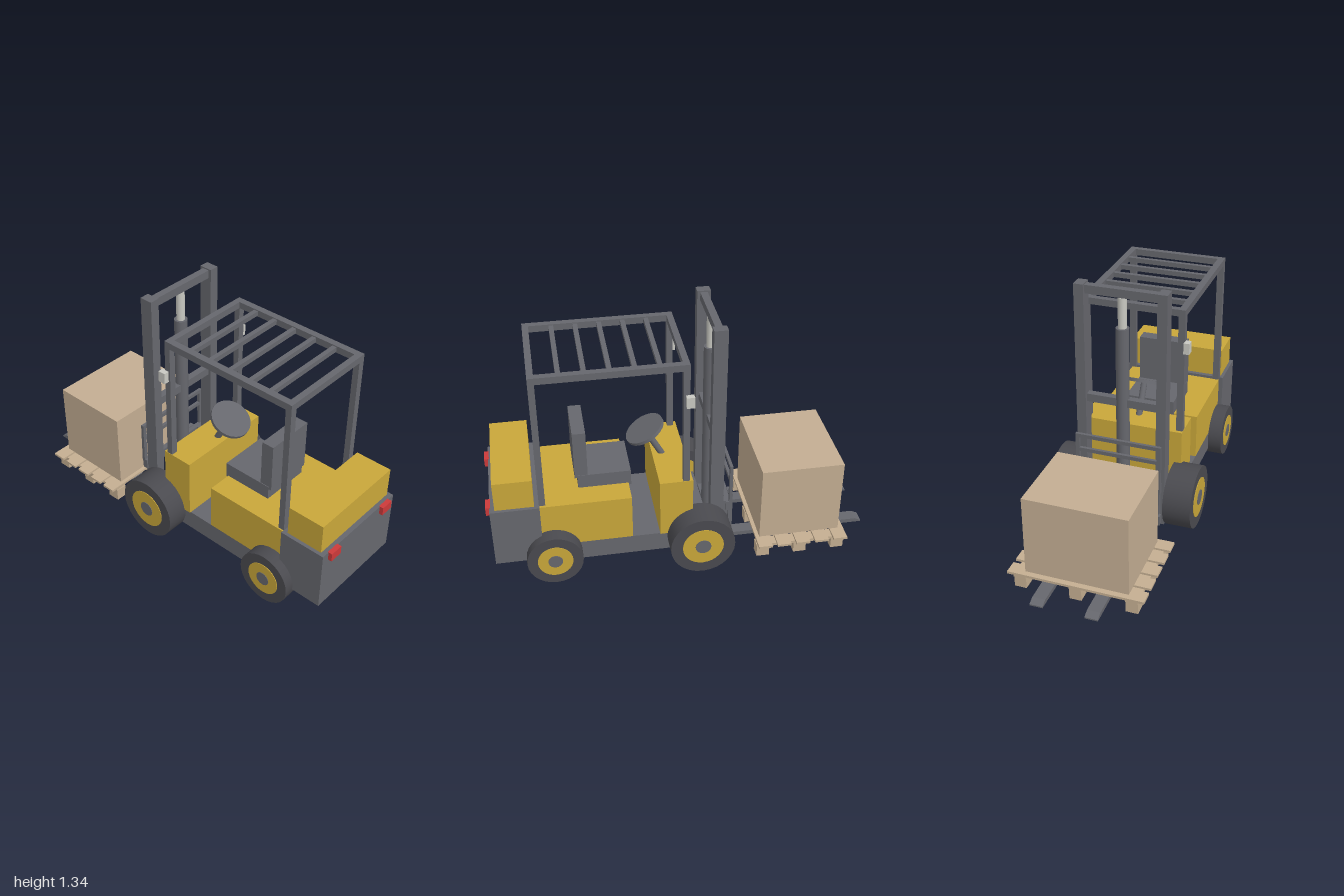
import * as THREE from 'three';

const mat = (name, color) => {
  const m = new THREE.MeshStandardMaterial({ color });
  m.name = name;
  return m;
};

export function createModel() {
  const root = new THREE.Group();
  root.name = 'forklift';
  const grey = mat('dark grey', 0x66676d);
  const yellow = mat('yellow', 0xc9a73a);
  const rubber = mat('tyre rubber', 0x4a4a4f);
  const red = mat('red', 0xcc3a3a);
  const pale = mat('pale metal', 0xc9c9c2);
  const wood = mat('wood', 0xc4ae91);
  const card = mat('cardboard', 0xc3ad92);

  const add = (name, geo, m, parent = root) => {
    const mesh = new THREE.Mesh(geo, m);
    mesh.name = name;
    parent.add(mesh);
    return mesh;
  };
  // Box given by its limits on each axis
  const box = (name, m, x0, x1, y0, y1, z0, z1, parent = root) => {
    const mesh = add(name, new THREE.BoxGeometry(x1 - x0, y1 - y0, z1 - z0), m, parent);
    mesh.position.set((x0 + x1) / 2, (y0 + y1) / 2, (z0 + z1) / 2);
    return mesh;
  };
  // The same box on the left and on the right
  const pair = (name, m, x0, x1, ...rest) => {
    box(name + 'Left', m, x0, x1, ...rest);
    box(name + 'Right', m, -x1, -x0, ...rest);
  };
  const rod = (name, m, r, y0, y1, z) => {
    add(name, new THREE.CylinderGeometry(r, r, y1 - y0, 20), m).position.set(0, (y0 + y1) / 2, z);
  };

  // Body
  box('chassis', grey, -0.265, 0.265, 0.083, 0.19, -0.135, 0.74);
  box('counterweight', grey, -0.288, 0.288, 0.128, 0.455, 0.735, 0.98);
  box('engineCover', yellow, -0.27, 0.27, 0.455, 0.615, 0.76, 0.955);
  box('seatBase', yellow, -0.265, 0.265, 0.19, 0.44, 0.272, 0.735);
  box('cowl', yellow, -0.272, 0.272, 0.19, 0.515, -0.04, 0.13);
  pair('tailLight', red, 0.172, 0.245, 0.41, 0.456, 0.975, 1.0);

  // Seat
  box('seatCushion', grey, -0.135, 0.135, 0.43, 0.515, 0.258, 0.53);
  box('seatBack', grey, -0.132, 0.132, 0.5, 0.768, 0.478, 0.545);

  // Steering
  const steering = new THREE.Group();
  steering.name = 'steering';
  steering.position.set(0, 0.668, 0.165);
  steering.rotation.x = 0.5;
  root.add(steering);
  add('steeringWheel', new THREE.CylinderGeometry(0.107, 0.107, 0.018, 24), grey, steering);
  add('steeringColumn', new THREE.CylinderGeometry(0.017, 0.017, 0.2, 16), grey, steering).position.y = -0.1;

  // Wheels: tyre, rim and cap along the axle
  const wheel = (name, side, r, w, y, z, rimR, capR) => {
    const g = new THREE.Group();
    g.name = name;
    g.position.set(side * (0.235 + w / 2), y, z);
    g.rotation.z = Math.PI / 2;
    add('tyre', new THREE.CylinderGeometry(r, r, w, 28), rubber, g);
    add('rim', new THREE.CylinderGeometry(rimR, rimR, w + 0.006, 28), yellow, g);
    add('hubCap', new THREE.CylinderGeometry(capR, capR, w + 0.012, 20), grey, g);
    root.add(g);
  };
  for (const side of [1, -1]) {
    const s = side > 0 ? 'Left' : 'Right';
    wheel('driveWheel' + s, side, 0.168, 0.148, 0.17, -0.075, 0.107, 0.041);
    wheel('steerWheel' + s, side, 0.143, 0.105, 0.146, 0.68, 0.09, 0.037);
  }

  // Overhead guard
  pair('guardRearPost', grey, 0.235, 0.27, 0.455, 1.16, 0.705, 0.737);
  pair('guardFrontPost', grey, 0.235, 0.27, 0.5, 1.16, -0.022, 0.01);
  pair('guardRail', grey, 0.235, 0.27, 1.155, 1.19, -0.022, 0.737);
  box('guardFrontBar', grey, -0.235, 0.235, 1.155, 1.19, -0.022, 0.01);
  box('guardRearBar', grey, -0.235, 0.235, 1.155, 1.19, 0.705, 0.737);
  for (let i = 0; i < 5; i++) {
    const z = 0.117 + i * 0.119;
    box('guardSlat', grey, -0.235, 0.235, 1.16, 1.185, z - 0.012, z + 0.012);
  }
  pair('headlight', pale, 0.268, 0.298, 0.965, 1.024, -0.04, 0.0);

  // Mast and lift cylinder
  pair('mastRail', grey, 0.185, 0.235, 0.05, 1.335, -0.207, -0.138);
  for (const [y0, y1] of [[0.085, 0.135], [0.7, 0.743], [1.285, 1.328]]) {
    box('mastCrossbar', grey, -0.185, 0.185, y0, y1, -0.19, -0.153);
  }
  rod('liftCylinder', grey, 0.034, 0.1, 1.125, -0.172);
  rod('liftRod', pale, 0.022, 1.125, 1.285, -0.172);

  // Carriage and load backrest
  for (const [y0, y1] of [[0.07, 0.125], [0.26, 0.315]]) {
    box('carriageBar', grey, -0.225, 0.225, y0, y1, -0.253, -0.225);
  }
  pair('carriageBracket', grey, 0.17, 0.215, 0.07, 0.315, -0.235, -0.2);
  pair('backrestPost', grey, 0.207, 0.227, 0.3, 0.54, -0.256, -0.24);
  for (const y of [0.44, 0.52]) box('backrestBar', grey, -0.207, 0.207, y, y + 0.02, -0.256, -0.24);

  // Forks: L-shaped side profile with a tapered tip
  const profile = new THREE.Shape([
    [0.25, 0.035], [1.0, 0.035], [1.0, 0.042], [0.965, 0.058],
    [0.272, 0.058], [0.272, 0.32], [0.25, 0.32],
  ].map(([a, b]) => new THREE.Vector2(a, b)));
  for (const x of [0.105, -0.171]) {
    const fork = add('fork', new THREE.ExtrudeGeometry(profile, { depth: 0.066, bevelEnabled: false }), grey);
    fork.rotation.y = Math.PI / 2;
    fork.position.x = x;
  }

  // Pallet: blocks, stringers and deck boards
  const pallet = new THREE.Group();
  pallet.name = 'pallet';
  root.add(pallet);
  for (const x of [-0.285, 0, 0.285]) {
    for (const z of [-0.413, -0.614, -0.82]) {
      box('palletBlock', wood, x - 0.031, x + 0.031, 0, 0.068, z - 0.034, z + 0.034, pallet);
    }
    box('palletStringer', wood, x - 0.031, x + 0.031, 0.06, 0.076, -0.86, -0.383, pallet);
  }
  for (let i = 0; i < 5; i++) {
    const z = -0.42 - i * 0.102;
    box('deckBoard', wood, -0.348, 0.348, 0.074, 0.087, z - 0.037, z + 0.037, pallet);
  }

  // Two cartons side by side
  pair('carton', card, 0, 0.264, 0.087, 0.508, -0.836, -0.403);
  return root;
}
